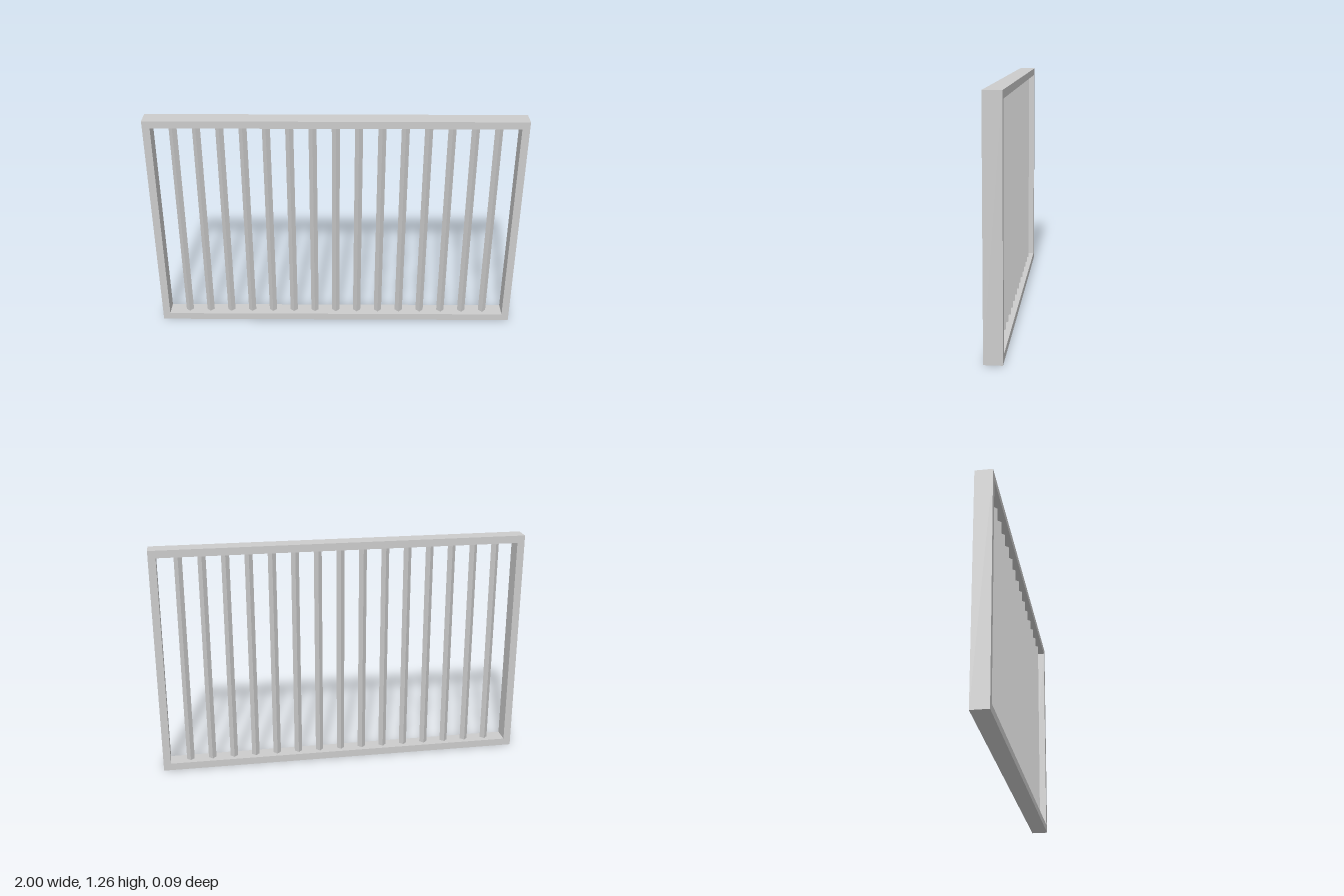
import * as THREE from 'three';

const WIDTH = 2, HEIGHT = 1.256, DEPTH = 0.092, RAIL = 0.04;
const BARS = 15, BAR_SPAN = 1.7, BAR_SIDE = 0.03;

// Closed rectangular path, used for the frame outline and its opening
function rectangle(path, x, y0, y1) {
  path.moveTo(-x, y0);
  path.lineTo(x, y0);
  path.lineTo(x, y1);
  path.lineTo(-x, y1);
  path.closePath();
  return path;
}

export function createModel() {
  const model = new THREE.Group();
  model.name = 'barredPanel';
  const material = new THREE.MeshStandardMaterial({ color: 0xcccccc, flatShading: true });

  // Outer frame
  const outline = rectangle(new THREE.Shape(), WIDTH / 2, 0, HEIGHT);
  outline.holes.push(rectangle(new THREE.Path(), WIDTH / 2 - RAIL, RAIL, HEIGHT - RAIL));
  const frameGeometry = new THREE.ExtrudeGeometry(outline, { depth: DEPTH, bevelEnabled: false });
  frameGeometry.translate(0, 0, -DEPTH / 2);
  const frame = new THREE.Mesh(frameGeometry, material);
  frame.name = 'frame';
  model.add(frame);

  // Upright square bars, turned corner-on to the front
  const bars = new THREE.Group();
  bars.name = 'bars';
  const barGeometry = new THREE.BoxGeometry(BAR_SIDE, HEIGHT - 2 * RAIL, BAR_SIDE);
  barGeometry.rotateY(Math.PI / 4);
  for (let i = 0; i < BARS; i++) {
    const bar = new THREE.Mesh(barGeometry, material);
    bar.name = `bar${i + 1}`;
    bar.position.set((i / (BARS - 1) - 0.5) * BAR_SPAN, HEIGHT / 2, 0);
    bars.add(bar);
  }
  model.add(bars);

  return model;
}
